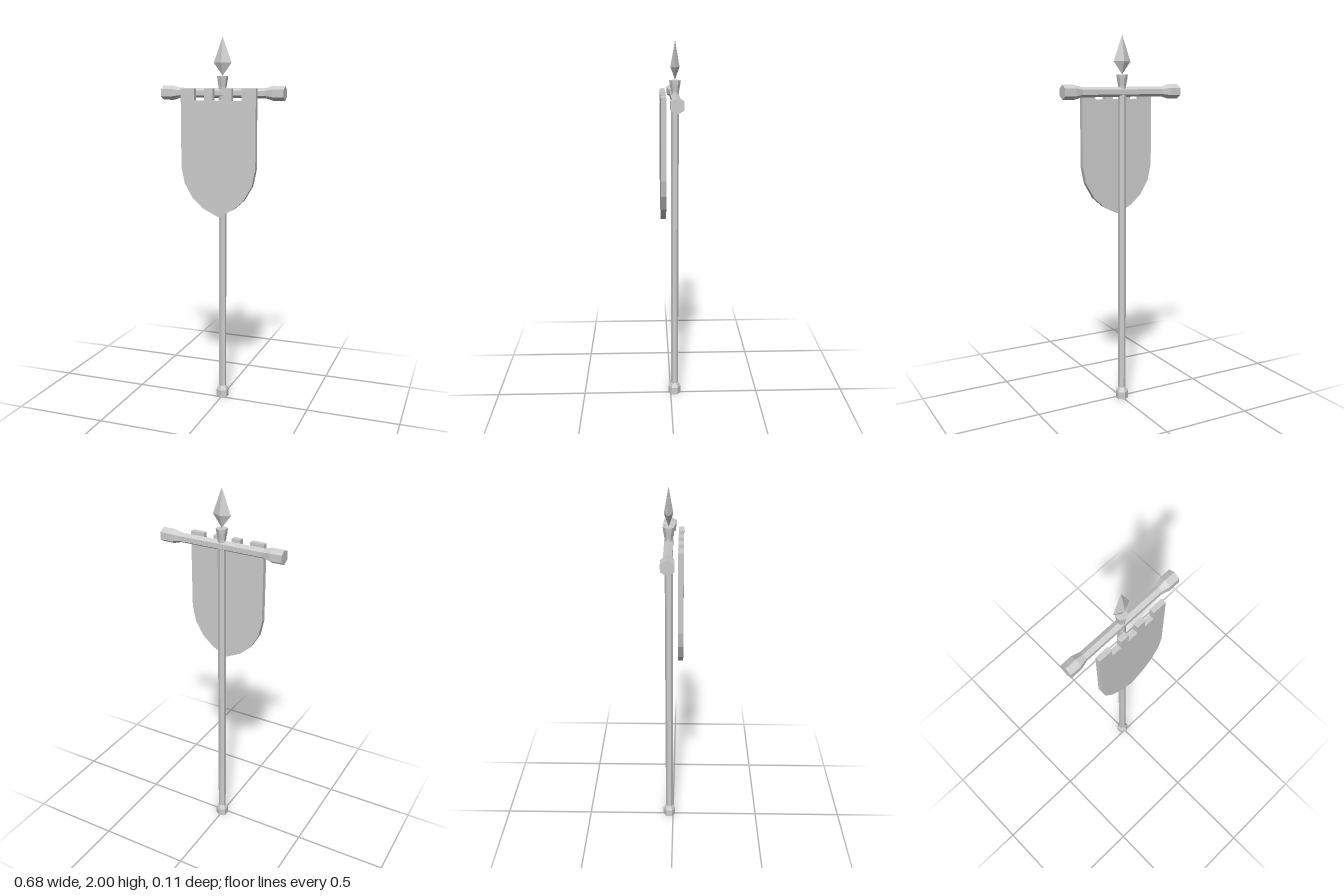
import * as THREE from 'three';

const AXIS_Z = -0.022; // depth of the pole axis behind the cloth

export function createModel() {
  const group = new THREE.Group();
  const grey = new THREE.MeshStandardMaterial({ color: 0xcccccc, flatShading: true });
  grey.name = 'plain grey';

  const add = (name, geometry, y, z) => {
    const mesh = new THREE.Mesh(geometry, grey);
    mesh.name = name;
    mesh.position.set(0, y, z);
    group.add(mesh);
    return mesh;
  };
  // Faceted turned shape from [radius, height] pairs, lowest first
  const turned = (profile, sides) =>
    new THREE.LatheGeometry(profile.map(([r, y]) => new THREE.Vector2(r, y)), sides);

  // Six-sided pole with a thicker foot and a flared socket at the top
  add('pole', turned([
    [0, 0], [0.035, 0], [0.035, 0.042], [0.021, 0.066],
    [0.021, 1.74], [0.028, 1.78], [0.03, 1.798], [0, 1.798],
  ], 6), 0, AXIS_Z);

  // Flattened four-sided spearhead
  const spear = turned([[0, 1.797], [0.004, 1.805], [1, 1.866], [0, 2]].map(
    ([r, y], i) => [i === 1 ? 0.08 : r, y]), 4);
  spear.scale(0.05, 1, 0.0235);
  add('spearhead', spear, 0, AXIS_Z);

  // Six-sided crossbar with thick ends, one ridge facing up
  const bar = turned([
    [0, -0.342], [0.0385, -0.342], [0.0385, -0.28], [0.026, -0.237],
    [0.026, 0.237], [0.0385, 0.28], [0.0385, 0.342], [0, 0.342],
  ], 6);
  bar.rotateY(Math.PI / 2).rotateZ(Math.PI / 2);
  add('crossbar', bar, 1.71, AXIS_Z);

  // Banner outline: rounded point below, three square notches along the top
  const half = [[0.085, 1.098], [0.143, 1.15], [0.19, 1.23], [0.208, 1.315], [0.208, 1.734]];
  const shape = new THREE.Shape();
  shape.moveTo(0, 1.056);
  half.forEach(([x, y]) => shape.lineTo(x, y));
  for (const x of [0.104, 0, -0.104]) {
    shape.lineTo(x + 0.028, 1.734);
    shape.lineTo(x + 0.028, 1.671);
    shape.lineTo(x - 0.028, 1.671);
    shape.lineTo(x - 0.028, 1.734);
  }
  [...half].reverse().forEach(([x, y]) => shape.lineTo(-x, y));
  shape.closePath();
  add('banner', new THREE.ExtrudeGeometry(shape, { depth: 0.028, bevelEnabled: false }), 0, 0.027);

  return group;
}
